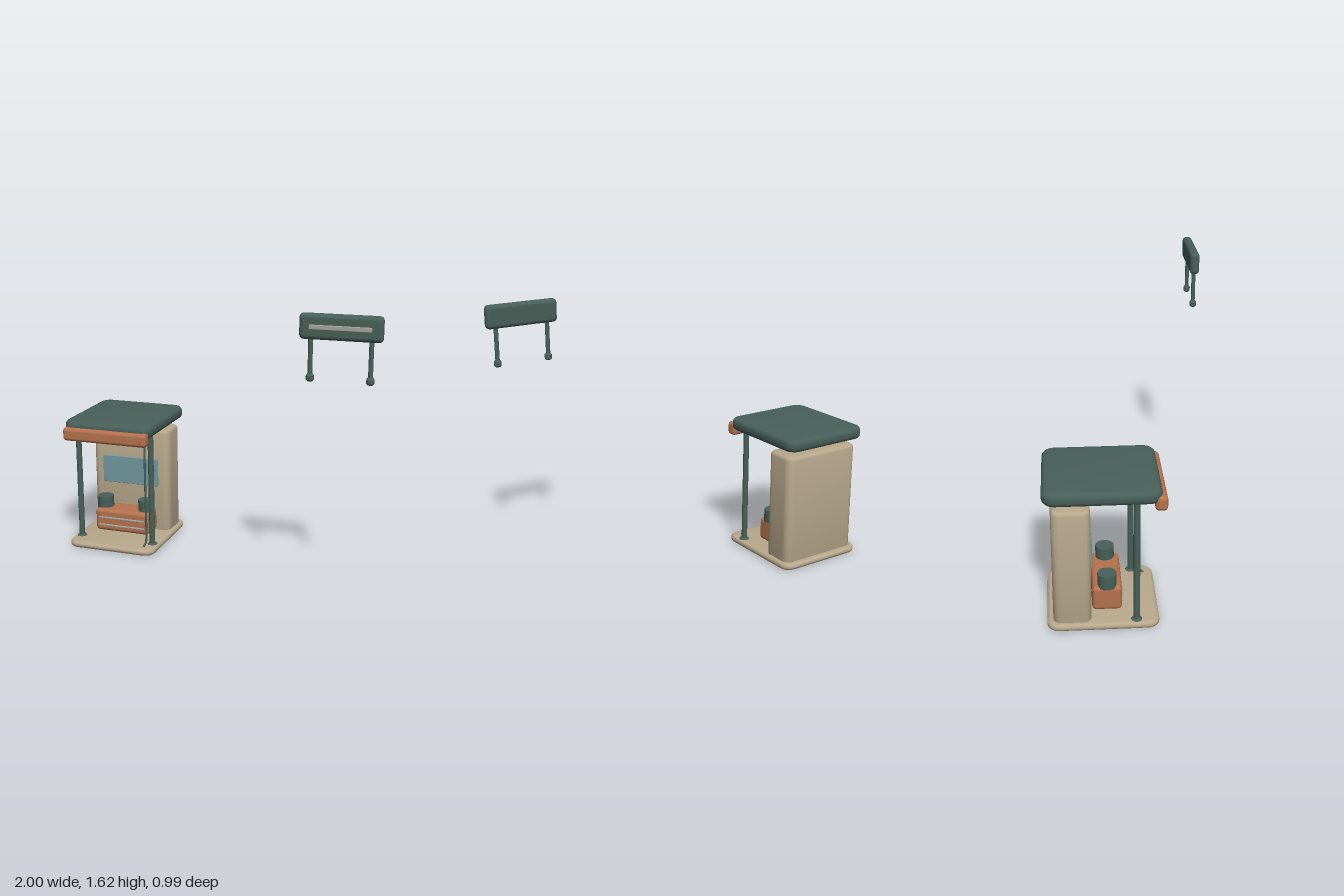
import * as THREE from 'three';
import { toCreasedNormals } from 'three/addons/utils/BufferGeometryUtils.js';
import { RoundedBoxGeometry } from 'three/addons/geometries/RoundedBoxGeometry.js';

const mat = (name, color) => {
  const m = new THREE.MeshStandardMaterial({ color });
  m.name = name;
  return m;
};

export function createModel() {
  const green = mat('deep green', 0x486059);
  const tan = mat('sand', 0xb8a88c);
  const copper = mat('terracotta', 0xb5724e);
  const glass = mat('blue glass', 0x7299a0);
  const silver = mat('pale grey', 0xa6a7a2);

  const model = new THREE.Group();
  model.name = 'kioskAndSign';
  const kiosk = new THREE.Group();
  kiosk.name = 'kiosk';
  const sign = new THREE.Group();
  sign.name = 'sign';
  model.add(kiosk, sign);

  const add = (parent, name, geometry, material, x, y, z) => {
    const mesh = new THREE.Mesh(geometry, material);
    mesh.name = name;
    mesh.position.set(x, y, z);
    parent.add(mesh);
    return mesh;
  };

  // Upright slab with rounded plan corners and bevelled rims, standing on y = 0
  const slab = (w, h, d, r, bevel) => {
    const a = w / 2 - bevel, b = d / 2 - bevel, c = r - bevel;
    const s = new THREE.Shape();
    s.moveTo(-a + c, -b);
    s.lineTo(a - c, -b);
    s.absarc(a - c, -b + c, c, -Math.PI / 2, 0);
    s.absarc(a - c, b - c, c, 0, Math.PI / 2);
    s.absarc(-a + c, b - c, c, Math.PI / 2, Math.PI);
    s.absarc(-a + c, -b + c, c, Math.PI, Math.PI * 1.5);
    const g = new THREE.ExtrudeGeometry(s, {
      depth: h - 2 * bevel, bevelEnabled: true, bevelThickness: bevel,
      bevelSize: bevel, bevelSegments: 3, curveSegments: 8,
    });
    g.translate(0, 0, bevel);
    g.rotateX(-Math.PI / 2);
    return toCreasedNormals(g, 0.6);
  };
  const cyl = (r0, r1, h) => new THREE.CylinderGeometry(r0, r1, h, 24);
  const rbox = (w, h, d, r) => new RoundedBoxGeometry(w, h, d, 3, r);

  // Kiosk body
  const cx = -0.715;
  add(kiosk, 'base', slab(0.57, 0.04, 0.602, 0.065, 0.017), tan, cx, 0, -0.184);
  add(kiosk, 'cabinet', slab(0.52, 0.685, 0.205, 0.045, 0.022), tan, cx, 0.022, -0.35);
  add(kiosk, 'roof', slab(0.57, 0.075, 0.62, 0.07, 0.027), green, cx, 0.75, -0.185);
  add(kiosk, 'fascia', rbox(0.548, 0.083, 0.066, 0.022), copper, cx, 0.748, 0.117);
  add(kiosk, 'screen', rbox(0.38, 0.18, 0.012, 0.004), glass, cx, 0.425, -0.246);

  // Console with trim strips
  add(kiosk, 'console', rbox(0.363, 0.145, 0.162, 0.024), copper, cx, 0.128, -0.161);
  for (const y of [0.147, 0.097]) {
    add(kiosk, 'consoleStrip', rbox(0.31, 0.012, 0.01, 0.004), silver, cx, y, -0.079);
  }

  // Mirrored drums, posts, post feet and ceiling lamps
  for (const s of [-1, 1]) {
    add(kiosk, 'drum', cyl(0.052, 0.052, 0.08), green, cx + s * 0.141, 0.23, -0.16);
    add(kiosk, 'post', cyl(0.0175, 0.0175, 0.73), green, cx + s * 0.242, 0.395, -0.007);
    add(kiosk, 'postFoot', cyl(0.022, 0.031, 0.01), green, cx + s * 0.242, 0.044, -0.007);
    add(kiosk, 'lampRim', cyl(0.042, 0.042, 0.012), green, cx + s * 0.175, 0.745, -0.043);
    add(kiosk, 'lampLens', cyl(0.03, 0.03, 0.004), tan, cx + s * 0.175, 0.738, -0.043);
  }

  // Slim conduit beside one post, bent out through the base
  const conduit = new THREE.CatmullRomCurve3([
    new THREE.Vector3(-0.497, 0.755, 0.033),
    new THREE.Vector3(-0.497, 0.4, 0.033),
    new THREE.Vector3(-0.497, 0.09, 0.033),
    new THREE.Vector3(-0.499, 0.06, 0.037),
    new THREE.Vector3(-0.505, 0.042, 0.058),
    new THREE.Vector3(-0.51, 0.001, 0.078),
  ]);
  add(kiosk, 'conduit', new THREE.TubeGeometry(conduit, 48, 0.0065, 10), green, 0, 0, 0);

  // Sign board on two legs
  const sx = 0.7825, sz = 0.463;
  add(sign, 'signBoard', rbox(0.435, 0.135, 0.058, 0.024), green, sx, 1.5525, sz);
  add(sign, 'signStrip', rbox(0.325, 0.025, 0.01, 0.004), silver, sx, 1.552, 0.492);
  const footProfile = [[0, -0.02], [0.014, -0.02], [0.021, -0.012], [0.021, 0.01], [0.014, 0.02], [0, 0.02]]
    .map(([x, y]) => new THREE.Vector2(x, y));
  for (const s of [-1, 1]) {
    add(sign, 'signLeg', cyl(0.0125, 0.0125, 0.22), green, sx + s * 0.158, 1.39, sz);
    add(sign, 'signFoot', toCreasedNormals(new THREE.LatheGeometry(footProfile, 20), 0.6),
      green, sx + s * 0.158, 1.285, sz);
  }
  return model;
}
